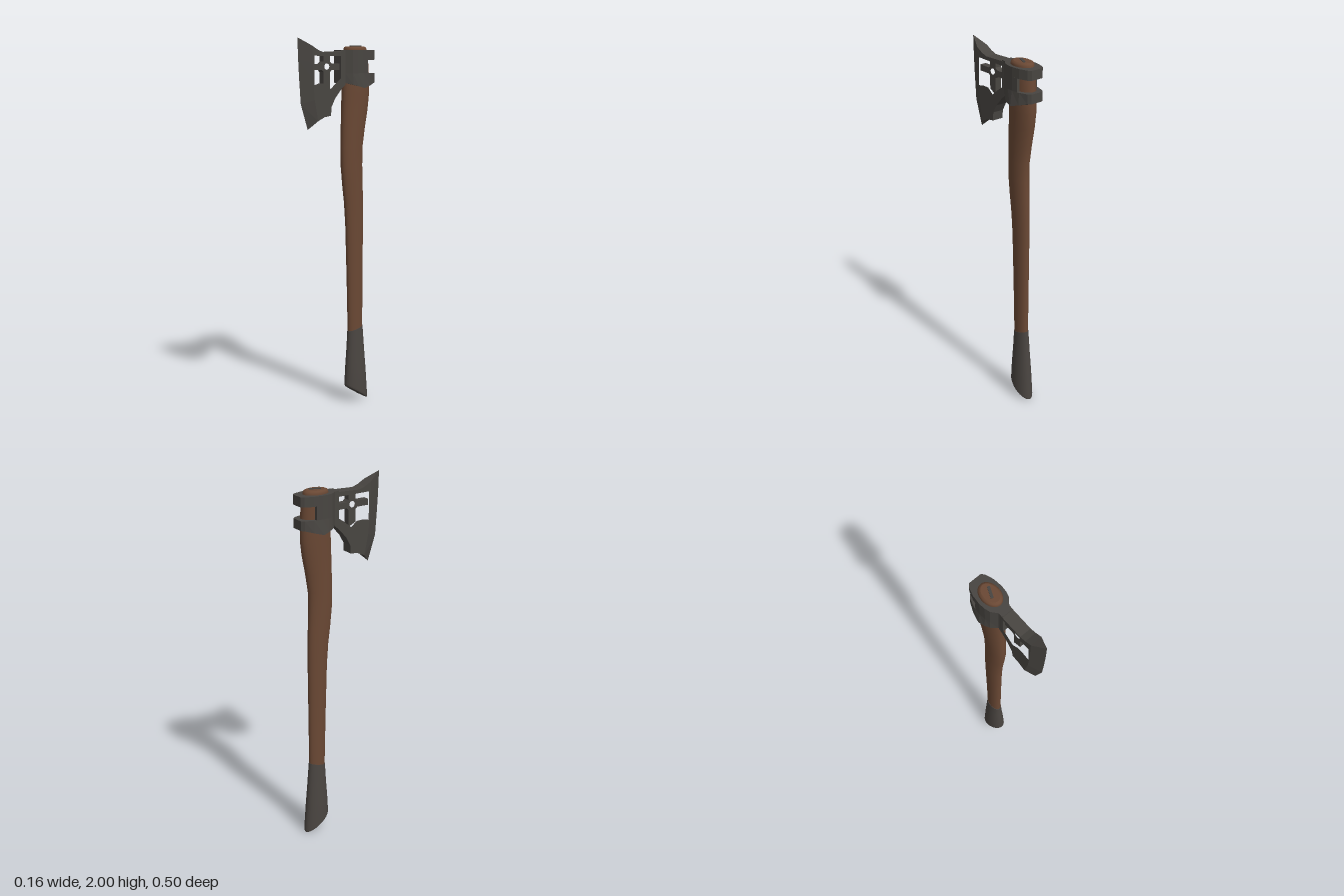
import * as THREE from 'three';

const wood = new THREE.MeshStandardMaterial({ color: 0x6a4834 });
const steel = new THREE.MeshStandardMaterial({ color: 0x484541 });
const grip = new THREE.MeshStandardMaterial({ color: 0x4a4541 });
wood.name = 'wood';
steel.name = 'dark steel';
grip.name = 'grip wrap';

function add(parent, name, geometry, material) {
  const mesh = new THREE.Mesh(geometry, material);
  mesh.name = name;
  parent.add(mesh);
  return mesh;
}

// Oval loft; each row is [y at front, y at back, z front, z back, half width]
function loft(rows, sides = 28) {
  const pos = [], index = [];
  const ring = ([yF, yB, zF, zB, hx]) => {
    const start = pos.length / 3;
    for (let j = 0; j < sides; j++) {
      const a = (j / sides) * Math.PI * 2, s = Math.sin(a);
      const t = (1 + s) / 2;
      pos.push(hx * Math.cos(a), yB + (yF - yB) * t, zB + (zF - zB) * t);
    }
    return start;
  };
  rows.forEach((row, i) => {
    const b = ring(row), a = b - sides;
    if (i === 0) return;
    for (let j = 0; j < sides; j++) {
      const k = (j + 1) % sides;
      index.push(a + j, b + j, a + k, b + j, b + k, a + k);
    }
  });
  // Flat end caps with their own vertices
  [[rows[0], false], [rows[rows.length - 1], true]].forEach(([row, top]) => {
    const s = ring(row);
    for (let j = 1; j < sides - 1; j++) {
      index.push(s, top ? s + j + 1 : s + j, top ? s + j : s + j + 1);
    }
  });
  const g = new THREE.BufferGeometry();
  g.setAttribute('position', new THREE.Float32BufferAttribute(pos, 3));
  g.setIndex(index);
  g.computeVertexNormals();
  return g;
}

const toPoints = (list) => list.map(([a, b]) => new THREE.Vector2(a, b));

// Side-on plate: outline in (z, y), centred on x = 0
function plate(outline, holes, thickness) {
  const shape = new THREE.Shape(toPoints(outline));
  holes.forEach((h) => shape.holes.push(Array.isArray(h) ? new THREE.Path(toPoints(h)) : h));
  const g = new THREE.ExtrudeGeometry(shape, { depth: thickness, bevelEnabled: false, curveSegments: 6 });
  g.translate(0, 0, -thickness / 2);
  g.rotateY(-Math.PI / 2);
  return g;
}

// Collar slab: half outline in (x, z) mirrored and raised between two heights
function slab(half, y0, y1) {
  const right = half.map(([x, z]) => [x, -z]);
  const left = right.map(([x, z]) => [-x, z]).reverse();
  const shape = new THREE.Shape(toPoints([...right, ...left]));
  const g = new THREE.ExtrudeGeometry(shape, { depth: y1 - y0, bevelEnabled: false });
  g.rotateX(-Math.PI / 2);
  g.translate(0, y0, 0);
  return g;
}

// Sharpened wedge between the thick bevel line and the cutting edge
function wedge(inner, edge, hx) {
  const pos = [];
  const tri = (...p) => p.forEach((v) => pos.push(...v));
  const I = (i, s) => [s * hx, inner[i][1], inner[i][0]];
  const E = (i) => [0, edge[i][1], edge[i][0]];
  const last = edge.length - 1;
  for (let i = 0; i < last; i++) {
    tri(I(i, 1), E(i), I(i + 1, 1));
    tri(E(i), E(i + 1), I(i + 1, 1));
    tri(I(i, -1), I(i + 1, -1), E(i));
    tri(E(i), I(i + 1, -1), E(i + 1));
  }
  tri(I(0, 1), I(0, -1), E(0));
  tri(I(last, -1), I(last, 1), E(last));
  const g = new THREE.BufferGeometry();
  g.setAttribute('position', new THREE.Float32BufferAttribute(pos, 3));
  g.computeVertexNormals();
  return g;
}

export function createModel() {
  const axe = new THREE.Group();
  axe.name = 'axe';

  // Curved wooden handle, ending in a domed top inside the head
  add(axe, 'handle', loft([
    [0.40, 0.425, -0.098, -0.193, 0.028],
    [0.70, 0.70, -0.09, -0.194, 0.03],
    [1.00, 1.00, -0.08, -0.195, 0.033],
    [1.12, 1.12, -0.071, -0.194, 0.035],
    [1.22, 1.22, -0.058, -0.191, 0.037],
    [1.32, 1.32, -0.048, -0.187, 0.039],
    [1.42, 1.42, -0.047, -0.188, 0.041],
    [1.52, 1.52, -0.049, -0.203, 0.044],
    [1.62, 1.62, -0.052, -0.222, 0.047],
    [1.70, 1.70, -0.055, -0.231, 0.05],
    [1.77, 1.77, -0.057, -0.229, 0.052],
    [1.89, 1.89, -0.066, -0.222, 0.052],
    [1.94, 1.94, -0.07, -0.21, 0.05],
    [1.951, 1.951, -0.074, -0.206, 0.046],
    [1.956, 1.956, -0.085, -0.195, 0.037],
  ]), wood);

  // Flared grip with a slanted foot
  add(axe, 'grip', loft([
    [0.092, 0.0, -0.082, -0.226, 0.044],
    [0.104, 0.012, -0.079, -0.228, 0.047],
    [0.20, 0.16, -0.084, -0.217, 0.043],
    [0.30, 0.29, -0.091, -0.206, 0.036],
    [0.402, 0.427, -0.096, -0.195, 0.03],
  ]), grip);

  // Metal wedge driven into the handle top
  const pin = add(axe, 'handleWedge', new THREE.BoxGeometry(0.014, 0.01, 0.062), steel);
  pin.position.set(0.002, 1.955, -0.142);
  pin.rotation.y = -0.42;

  // Collar: two full bands joined by a front half that leaves the back open
  const collar = new THREE.Group();
  collar.name = 'collar';
  axe.add(collar);
  const front = [[0.03, -0.018], [0.033, -0.045], [0.058, -0.077], [0.066, -0.105], [0.069, -0.14]];
  const band = [...front, [0.064, -0.19], [0.049, -0.235], [0.035, -0.25]];
  add(collar, 'upperBand', slab(band, 1.885, 1.936), steel);
  add(collar, 'cheeks', slab([...front, [0.066, -0.175]], 1.815, 1.885), steel);
  const lower = slab(band, 1.765, 1.815);
  const p = lower.attributes.position;
  for (let i = 0; i < p.count; i++) {
    // Flare the lower rim and let its sides droop
    if (p.getY(i) > 1.79) continue;
    const bulge = Math.max(0, 1 - Math.abs(p.getZ(i) + 0.14) / 0.1);
    p.setX(i, p.getX(i) * (1 + 0.16 * bulge));
    p.setY(i, 1.765 - 0.028 * bulge);
  }
  lower.computeVertexNormals();
  add(collar, 'lowerBand', lower, steel);

  // Bearded blade with an open window
  const blade = new THREE.Group();
  blade.name = 'blade';
  axe.add(blade);
  const inner = [[0.178, 1.958], [0.176, 1.87], [0.172, 1.79], [0.163, 1.68], [0.14, 1.57]];
  const edge = [[0.25, 2.0], [0.246, 1.89], [0.24, 1.79], [0.23, 1.66], [0.185, 1.525]];
  const windowOutline = [
    [0.165, 1.907], [0.165, 1.757], [0.13, 1.765], [0.09, 1.763], [0.055, 1.735],
    [0.01, 1.772], [-0.025, 1.795], [-0.025, 1.905],
  ];
  add(blade, 'bladeBody', plate([
    ...inner, [0.095, 1.59], [0.053, 1.595], [0.05, 1.64], [0.025, 1.685],
    [-0.02, 1.735], [-0.045, 1.755], [-0.045, 1.932], [-0.02, 1.93], [0.105, 1.925], [0.14, 1.937],
  ], [windowOutline], 0.064), steel);
  add(blade, 'cuttingEdge', wedge(inner, edge, 0.032), steel);

  // Pierced cross filling the window
  const eye = new THREE.Path().absarc(0.07, 1.851, 0.017, 0, Math.PI * 2, true);
  const [a, b, c, d] = [0.091, 0.048, 1.865, 1.833];
  add(blade, 'windowCross', plate([
    [a, 1.912], [a, 1.876], [a + 0.011, c], [0.17, c], [0.17, d], [a + 0.011, d],
    [a, 1.822], [a, 1.755], [b, 1.735], [b, 1.822], [b - 0.011, d], [-0.03, d],
    [-0.03, c], [b - 0.011, c], [b, 1.876], [b, 1.912],
  ], [eye], 0.036), steel);

  return axe;
}
